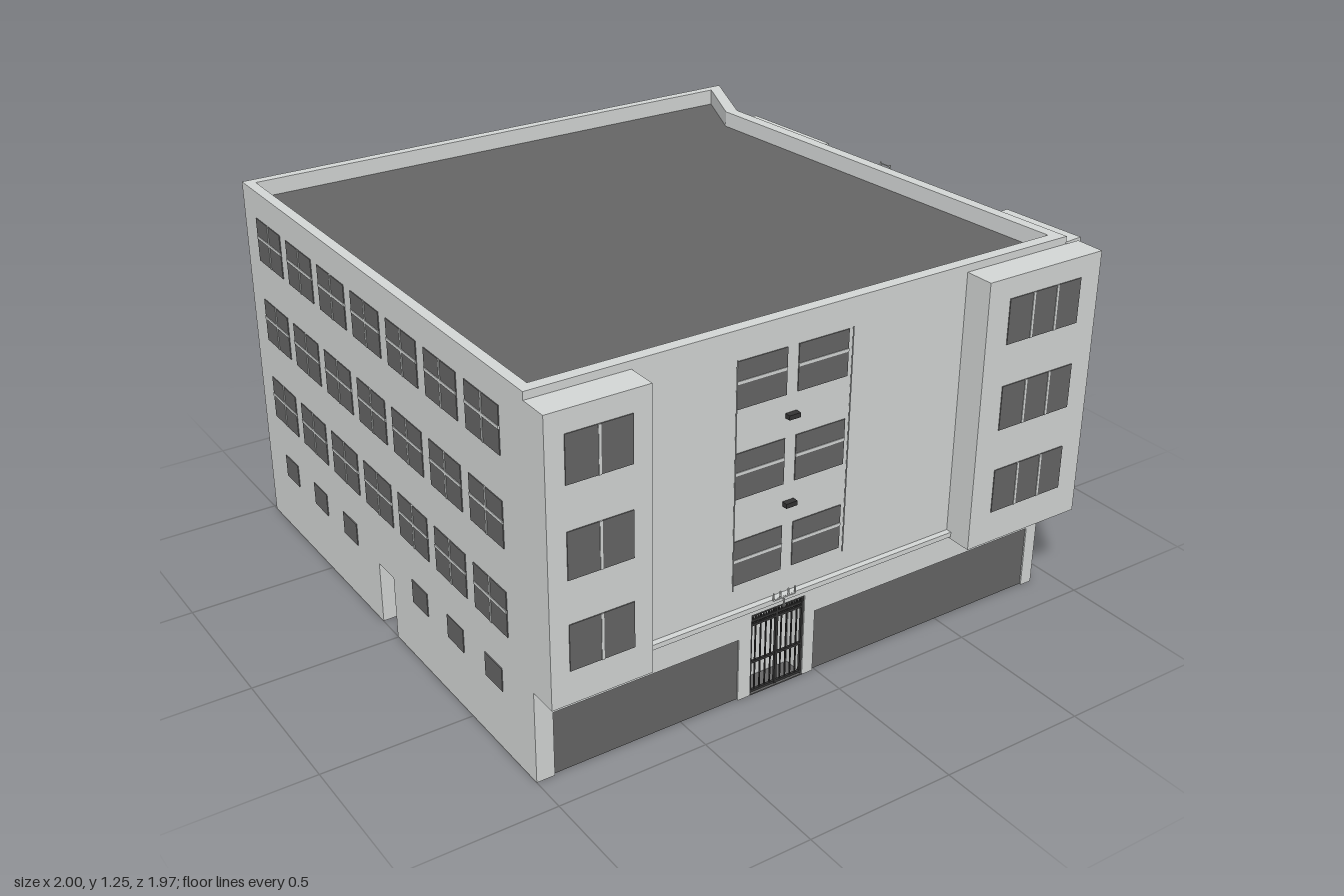
import * as THREE from 'three';

const mat = (name, color, side = THREE.FrontSide) => {
  const m = new THREE.MeshStandardMaterial({ color, side });
  m.name = name;
  return m;
};

export function createModel() {
  const model = new THREE.Group();
  model.name = 'cornerBuilding';
  const wall = mat('paleWall', 0xd4d7d6, THREE.DoubleSide);
  const dark = mat('darkGlassAndRoof', 0x666666, THREE.DoubleSide);
  const iron = mat('blackIron', 0x343434);

  const ROOF = 1.19, TOP = 1.245;
  const FLOORS = [0.42, 0.71, 1.0];

  // Box given by its limits in the parent's frame
  const block = (parent, name, m, x0, x1, y0, y1, z0, z1) => {
    const mesh = new THREE.Mesh(new THREE.BoxGeometry(x1 - x0, y1 - y0, z1 - z0), m);
    mesh.position.set((x0 + x1) / 2, (y0 + y1) / 2, (z0 + z1) / 2);
    mesh.name = name;
    parent.add(mesh);
  };

  // Thin square bar between two points
  const bar = (parent, name, m, a, b, t = 0.004) => {
    const p = new THREE.Vector3(...a), q = new THREE.Vector3(...b);
    const mesh = new THREE.Mesh(new THREE.BoxGeometry(t, t, p.distanceTo(q)), m);
    mesh.position.copy(p).add(q).multiplyScalar(0.5);
    mesh.lookAt(q);
    mesh.name = name;
    parent.add(mesh);
  };

  // Glass with slim glazing bars, on a wall at depth z
  const glazing = (parent, u0, u1, y0, y1, cols, rows, z) => {
    block(parent, 'windowGlass', dark, u0, u1, y0, y1, z - 0.003, z + 0.003);
    for (let i = 1; i < cols; i++) {
      const u = u0 + (u1 - u0) * i / cols;
      block(parent, 'windowMullion', wall, u - 0.004, u + 0.004, y0, y1, z, z + 0.005);
    }
    for (let i = 1; i < rows; i++) {
      const y = y0 + (y1 - y0) * (i / rows + 0.06);
      block(parent, 'windowRail', wall, u0, u1, y - 0.005, y + 0.005, z, z + 0.005);
    }
  };
  const windowStack = (parent, u0, u1, cols, rows, z) =>
    FLOORS.forEach(y => glazing(parent, u0, u1, y, y + 0.15, cols, rows, z));

  // Wall sheet from a to b; local x runs along it, local z points outward
  const facade = (name, a, b, openings = []) => {
    const g = new THREE.Group();
    g.name = name;
    const dx = b[0] - a[0], dz = b[1] - a[1], len = Math.hypot(dx, dz);
    g.position.set(a[0], 0, a[1]);
    g.rotation.y = Math.atan2(-dz, dx);
    const shape = new THREE.Shape();
    shape.moveTo(0, 0);
    for (const [u0, u1, h] of openings)
      shape.lineTo(u0, 0).lineTo(u0, h).lineTo(u1, h).lineTo(u1, 0);
    shape.lineTo(len, 0).lineTo(len, ROOF).lineTo(0, ROOF);
    const sheet = new THREE.Mesh(new THREE.ShapeGeometry(shape), wall);
    sheet.name = name + 'Sheet';
    g.add(sheet);
    for (const [u0, u1, h, d, back] of openings) {
      block(g, 'openingBack', back, u0, u1, 0, h, -d - 0.004, -d);
      block(g, 'openingHead', wall, u0, u1, h, h + 0.003, -d - 0.004, -0.001);
      for (const u of [u0 - 0.003, u1])
        block(g, 'openingJamb', wall, u, u + 0.003, 0, h, -d - 0.004, -0.001);
    }
    model.add(g);
    return g;
  };

  const shopGlass = (g, u0, u1, panes) => {
    for (let i = 0; i < panes; i++) {
      const w = (u1 - u0) / panes;
      block(g, 'shopPane', dark, u0 + i * w, u0 + (i + 1) * w, 0.002, 0.22, -0.012, -0.006);
    }
  };

  // Footprint
  const outer = [[-1, 0.877], [0.918, 0.877], [0.805, -0.69], [0.93, -0.98], [-1, -0.98]];
  const inner = [[-0.965, 0.838], [0.877, 0.838], [0.762, -0.70], [0.87, -0.947], [-0.965, -0.947]];
  const outline = (pts, C) => new C(pts.map(([x, z]) => new THREE.Vector2(x, -z)));

  const front = facade('frontWall', outer[0], outer[1],
    [[0.06, 0.705, 0.22, 0.012, wall], [0.75, 0.95, 0.29, 0.08, wall], [0.99, 1.875, 0.22, 0.012, wall]]);
  const right = facade('rightWall', outer[1], outer[2],
    [[0.53, 1.015, 0.22, 0.012, wall], [1.045, 1.525, 0.22, 0.012, wall]]);
  const notch = facade('angledWall', outer[2], outer[3]);
  facade('backWall', outer[3], outer[4]);
  const left = facade('leftWall', outer[4], outer[0], [[0.87, 0.975, 0.22, 0.05, dark]]);

  // Parapet and flat roof
  const ring = outline(outer, THREE.Shape);
  ring.holes.push(outline(inner, THREE.Path));
  const parapet = new THREE.Mesh(
    new THREE.ExtrudeGeometry(ring, { depth: TOP - ROOF, bevelEnabled: false }), wall);
  parapet.name = 'parapet';
  const roof = new THREE.Mesh(new THREE.ShapeGeometry(outline(inner, THREE.Shape)), dark);
  roof.name = 'flatRoof';
  for (const m of [parapet, roof]) {
    m.rotation.x = -Math.PI / 2;
    m.position.y = ROOF;
    model.add(m);
  }

  // Projecting bays: wall, start, end, depth, window start, window end, panes
  for (const [g, u0, u1, d, w0, w1, n] of [
    [front, 0, 0.33, 0.1, 0.06, 0.27, 2],
    [front, 1.515, 1.97, 0.1, 1.6, 1.89, 3],
    [right, 0.01, 0.315, 0.08, 0.097, 0.23, 2],
    [right, 1.145, 1.54, 0.066, 1.217, 1.472, 3]]) {
    block(g, 'bay', wall, u0, u1, 0.31, 1.22, 0, d);
    windowStack(g, w0, w1, n, 1, d);
  }

  // String course
  block(front, 'stringCourse', wall, 0.33, 1.515, 0.318, 0.335, 0, 0.02);
  block(right, 'stringCourse', wall, 0.315, 1.145, 0.318, 0.335, 0, 0.012);
  block(notch, 'stringCourse', wall, 0, 0.32, 0.324, 0.336, 0, 0.012);

  // Shopfronts
  shopGlass(front, 0.06, 0.705, 4);
  shopGlass(front, 0.99, 1.875, 6);
  shopGlass(right, 0.53, 1.015, 3);
  shopGlass(right, 1.045, 1.525, 3);

  // Remaining upper windows
  windowStack(front, 0.675, 0.85, 1, 2, 0);
  windowStack(front, 0.89, 1.07, 1, 2, 0);
  windowStack(right, 0.613, 0.787, 1, 2, 0);
  windowStack(notch, 0.1, 0.21, 1, 2, 0);
  for (let i = 0; i < 7; i++) windowStack(left, 0.1 + i * 0.239, 0.29 + i * 0.239, 2, 2, 0);
  for (const u of [0.205, 0.44, 0.67, 1.167, 1.397, 1.63])
    block(left, 'smallWindow', dark, u - 0.05, u + 0.05, 0.21, 0.29, 0.001, 0.004);

  // Slim uprights beside the middle windows, and small lamps between them
  for (const u of [0.668, 1.077])
    bar(front, 'windowUpright', wall, [u, 0.41, 0.012], [u, 1.16, 0.012], 0.003);
  for (const y of [0.635, 0.925]) block(front, 'wallLamp', iron, 0.85, 0.89, y, y + 0.015, 0, 0.02);

  // Entrance: dark floor, iron gate and bracket above
  block(front, 'entranceFloor', dark, 0.75, 0.95, 0, 0.004, -0.3, 0);
  for (let i = 0; i <= 10; i++) {
    const u = 0.753 + i * 0.0194, t = i % 5 ? 0.004 : 0.009;
    bar(front, 'gateBar', iron, [u, 0.004, -0.01], [u, 0.288, -0.01], t);
  }
  for (let u = 0.763; u < 0.95; u += 0.0194)
    bar(front, 'gateTopBar', iron, [u, 0.25, -0.01], [u, 0.288, -0.01]);
  for (const y of [0.01, 0.115, 0.25, 0.265, 0.284])
    bar(front, 'gateRail', iron, [0.75, y, -0.01], [0.95, y, -0.01], 0.008);
  bar(front, 'bracketStem', wall, [0.85, 0.3, 0.025], [0.85, 0.335, 0.025]);
  bar(front, 'bracketRail', wall, [0.81, 0.335, 0.025], [0.89, 0.335, 0.025]);
  for (const u of [0.81, 0.835, 0.865, 0.89])
    bar(front, 'bracketSpike', wall, [u, 0.335, 0.025], [u, 0.36, 0.025]);

  // Fire escape: three grated landings with railings
  const escape = new THREE.Group();
  escape.name = 'fireEscape';
  right.add(escape);
  const E0 = 0.477, E1 = 0.872, D = 0.088;
  const levels = [0.335, 0.62, 0.91];
  for (const y of levels) {
    for (const z of [0.004, D]) bar(escape, 'landingEdge', wall, [E0, y, z], [E1, y, z], 0.006);
    for (let u = E0; u <= E1 + 0.001; u += 0.0158)
      bar(escape, 'landingSlat', wall, [u, y, 0], [u, y, D], 0.003);
    for (const h of [0.035, 0.07, 0.105]) {
      bar(escape, 'frontRail', wall, [E0, y + h, D], [E1, y + h, D], 0.003);
      for (const u of [E0, E1]) bar(escape, 'endRail', wall, [u, y + h, 0], [u, y + h, D], 0.003);
    }
    for (let i = 0; i <= 12; i++) {
      const u = E0 + (E1 - E0) * i / 12;
      bar(escape, 'railPost', wall, [u, y, D], [u, y + 0.105, D], 0.003);
    }
  }

  // Zigzag stairs between the landings
  [[0.6, 0.75], [0.75, 0.6]].forEach(([ua, ub], k) => {
    const y0 = levels[k], y1 = levels[k + 1];
    for (const z of [0.03, 0.08]) {
      bar(escape, 'stairStringer', wall, [ua, y0, z], [ub, y1, z], 0.008);
      bar(escape, 'stairHandrail', wall, [ua, y0 + 0.08, z], [ub, y1 + 0.08, z], 0.003);
    }
    for (let i = 1; i < 14; i++) {
      const u = ua + (ub - ua) * i / 14, y = y0 + (y1 - y0) * i / 14;
      block(escape, 'stairTread', wall, u - 0.009, u + 0.009, y - 0.002, y + 0.002, 0.03, 0.08);
    }
  });

  // Roof ladder
  for (const u of [0.797, 0.842]) bar(escape, 'ladderRail', wall, [u, 0.91, 0.025], [u, TOP, 0.025]);
  for (let y = 0.94; y < TOP; y += 0.03)
    bar(escape, 'ladderRung', wall, [0.797, y, 0.025], [0.842, y, 0.025], 0.003);

  return model;
}
